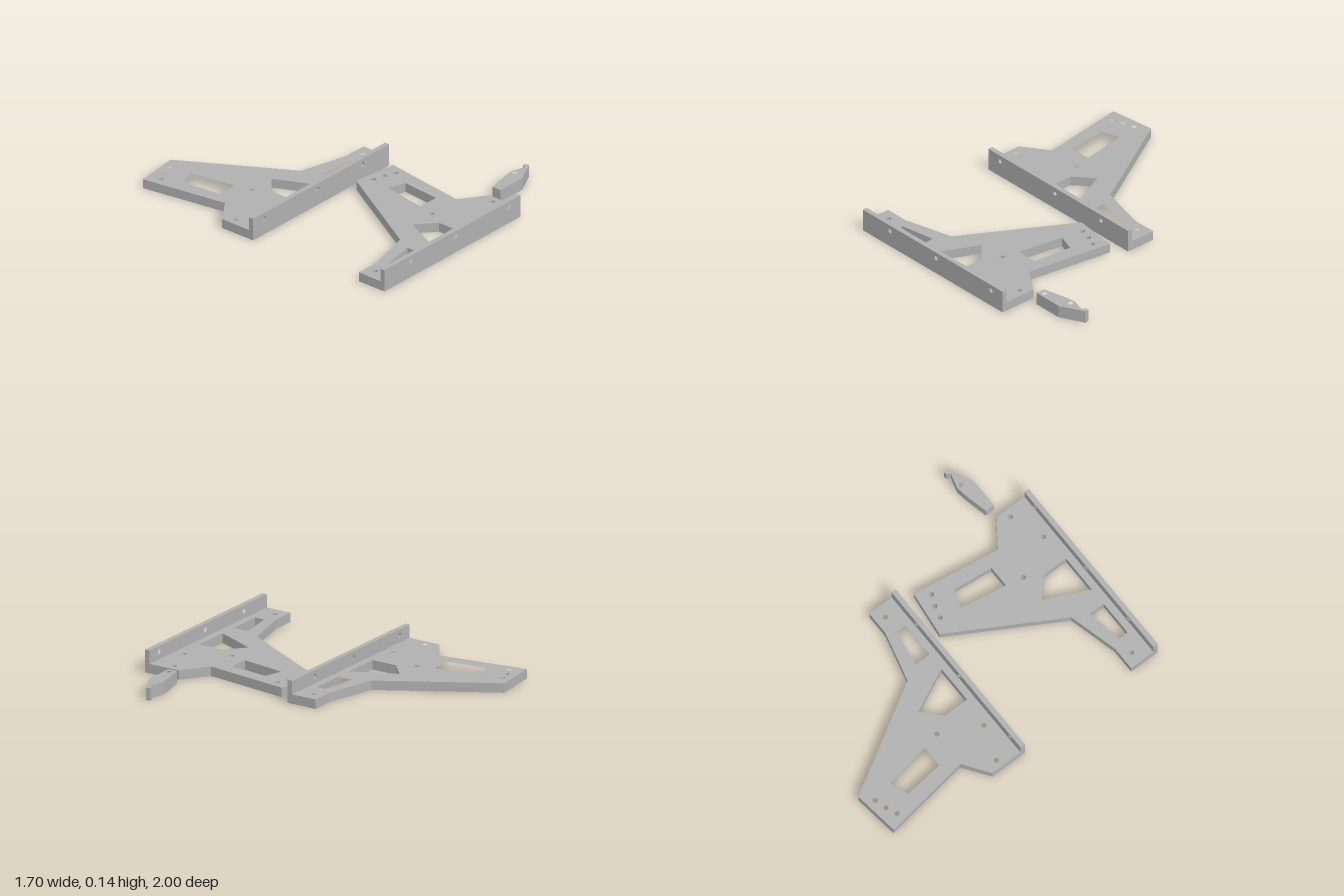
import * as THREE from 'three';

const metal = new THREE.MeshStandardMaterial({ color: 0xb0b0b0 });
metal.name = 'grey metal';

// Shape from corner points, with polygon windows and round holes
function makeShape(outline, windows, holes, radius) {
  const toVectors = pts => pts.map(([x, y]) => new THREE.Vector2(x, y));
  const shape = new THREE.Shape(toVectors(outline));
  for (const w of windows) shape.holes.push(new THREE.Path(toVectors(w)));
  for (const [x, y] of holes) {
    shape.holes.push(new THREE.Path().absarc(x, y, radius, 0, Math.PI * 2, true));
  }
  return shape;
}

function extrude(name, shape, depth) {
  const geometry = new THREE.ExtrudeGeometry(shape, { depth, bevelEnabled: false, curveSegments: 12 });
  const mesh = new THREE.Mesh(geometry, metal);
  mesh.name = name;
  return mesh;
}

// Flat part lying on the ground, given as (x, z) points
function flatPart(name, outline, windows, holes, radius, height) {
  const flip = pts => pts.map(([x, z]) => [x, -z]);
  const mesh = extrude(name, makeShape(flip(outline), windows.map(flip), flip(holes), radius), height);
  mesh.geometry.rotateX(-Math.PI / 2);
  return mesh;
}

const FLANGE_BACK = -0.057, FLANGE_DEPTH = 0.032, FLANGE_HEIGHT = 0.145;

const plateOutline = [
  [-0.85, FLANGE_BACK], [-0.85, -0.272], [-0.682, -0.39], [-0.77, -0.963], [-0.472, -1],
  [-0.07, -0.31], [0.252, -0.227], [0.41, -0.227], [0.41, FLANGE_BACK],
];
const plateWindows = [
  [[-0.642, -0.755], [-0.524, -0.795], [-0.473, -0.494], [-0.615, -0.494]],
  [[-0.265, -0.38], [-0.385, -0.272], [-0.385, -0.103], [-0.134, -0.103]],
  [[-0.018, -0.208], [0.216, -0.167], [0.216, -0.103], [-0.018, -0.103]],
];
const plateHoles = [
  [-0.7, -0.882], [-0.63, -0.913], [-0.553, -0.934], [-0.447, -0.38],
  [-0.8, -0.203], [-0.577, -0.124], [0.333, -0.164],
];
const flangeHoles = [[-0.745, 0.105], [-0.25, 0.105], [0.165, 0.105]];

// Bracket: cut-out plate with an upright drilled flange
function bracket(name, mirrored) {
  const group = new THREE.Group();
  group.name = name;
  const mx = x => (mirrored ? -0.425 - x : x);
  const map = pts => pts.map(([x, v]) => [mx(x), v]);

  group.add(flatPart('bracketPlate', map(plateOutline), plateWindows.map(map), map(plateHoles), 0.016, 0.06));

  const face = [[-0.85, 0], [0.41, 0], [0.41, FLANGE_HEIGHT], [-0.85, FLANGE_HEIGHT]];
  const flange = extrude('bracketFlange', makeShape(map(face), [], map(flangeHoles), 0.015), FLANGE_DEPTH);
  flange.position.z = FLANGE_BACK;
  group.add(flange);

  if (mirrored) group.position.z = 1.025;
  return group;
}

export function createModel() {
  const model = new THREE.Group();
  model.name = 'bracketSet';
  model.add(bracket('rearBracket', false), bracket('frontBracket', true));

  // Small latch lever with a hooked tip
  model.add(flatPart('latchLever', [
    [0.49, 0.725], [0.655, 0.687], [0.715, 0.68], [0.808, 0.706], [0.822, 0.68],
    [0.841, 0.68], [0.846, 0.708], [0.69, 0.786], [0.49, 0.786],
  ], [], [[0.528, 0.755], [0.713, 0.711]], 0.015, 0.08));
  return model;
}
